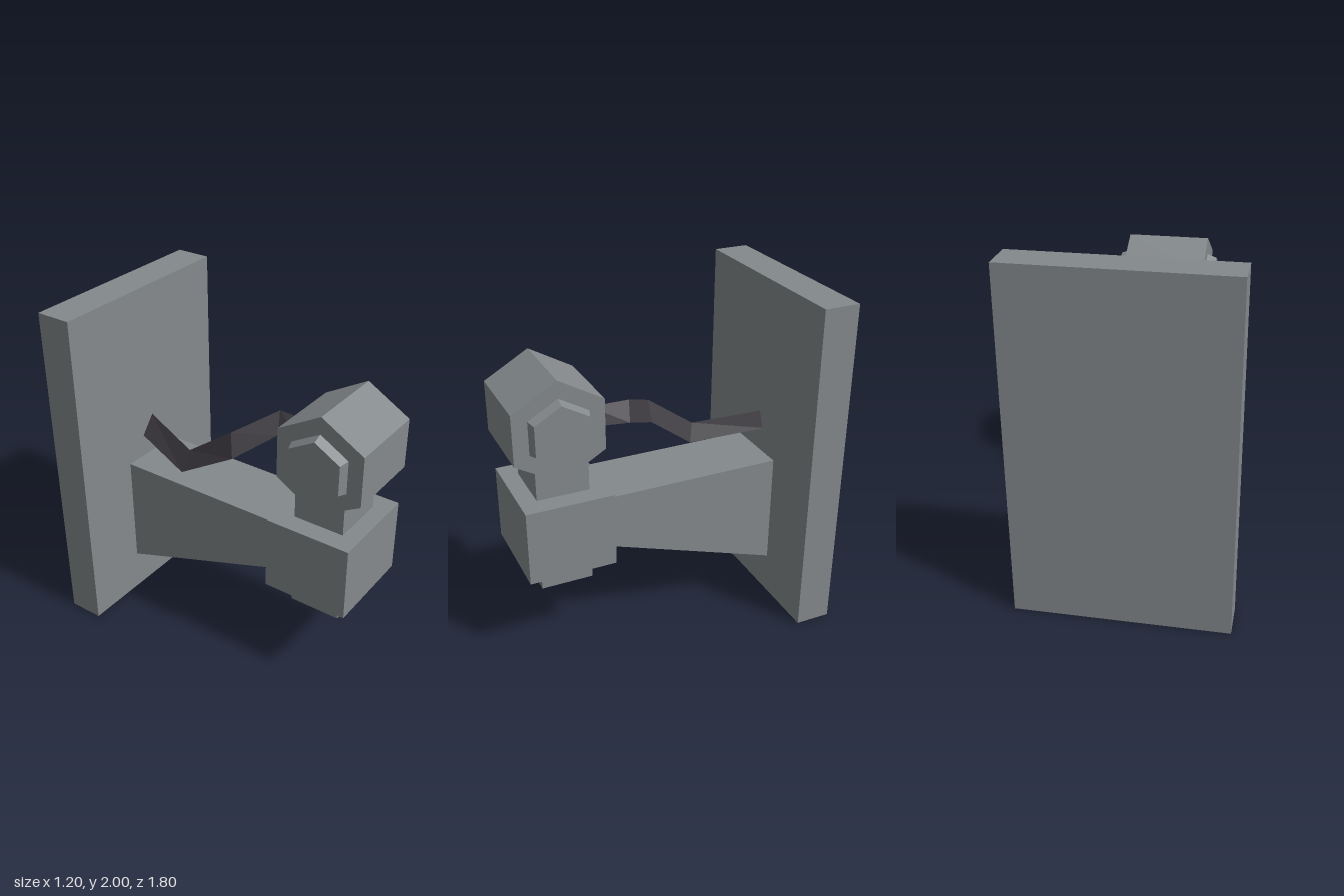
import * as THREE from 'three';

export function createModel() {
  const model = new THREE.Group();
  model.name = 'wallFixture';
  const metal = new THREE.MeshStandardMaterial({ color: 0x84898c, flatShading: true });
  metal.name = 'grey metal';
  const rubber = new THREE.MeshStandardMaterial({ color: 0x3e3b41, flatShading: true });
  rubber.name = 'dark cable';

  const add = (name, geometry, material = metal) => {
    const mesh = new THREE.Mesh(geometry, material);
    mesh.name = name;
    model.add(mesh);
    return mesh;
  };
  // Box given by its width and its y and z ranges, centred on x
  const box = (name, w, y0, y1, z0, z1) =>
    add(name, new THREE.BoxGeometry(w, y1 - y0, z1 - z0)
      .translate(0, (y0 + y1) / 2, (z0 + z1) / 2));
  // Six-sided prism along x, pointing to one side, with a corner on top
  const hexPrism = (rEnd, rBase, length, side = 1) =>
    new THREE.CylinderGeometry(rEnd, rBase, length, 6)
      .rotateY(Math.PI / 2).rotateZ(-side * Math.PI / 2);

  box('wallPlate', 1.2, 0, 2, -0.9, -0.69);
  box('collarBlock', 0.565, 0.545, 0.99, 0.36, 0.87);
  box('post', 0.33, 0.41, 1.25, 0.465, 0.77);

  // Tapered bracket arm between plate and collar, profile in (-z, y)
  const profile = new THREE.Shape([[-0.36, 0.61], [0.69, 0.25], [0.69, 0.93], [-0.36, 0.93]]
    .map(([x, y]) => new THREE.Vector2(x, y)));
  add('bracketArm', new THREE.ExtrudeGeometry(profile, { depth: 0.41, bevelEnabled: false })
    .rotateY(Math.PI / 2).translate(-0.205, 0, 0));

  // Hexagonal head with a bevelled cap on each end
  add('head', hexPrism(0.295, 0.295, 0.48)).position.set(0, 1.41, 0.645);
  for (const side of [-1, 1]) {
    add(side > 0 ? 'leftCap' : 'rightCap', hexPrism(0.175, 0.195, 0.055, side))
      .position.set(side * 0.2675, 1.41, 0.645);
  }

  // Three-sided cable: each ring holds its left, ridge and right corner
  const rings = [
    [[-0.015, 1.335, 0.42], [0.085, 1.45, 0.42], [0.12, 1.345, 0.42]],
    [[0.02, 1.335, 0.225], [0.09, 1.45, 0.19], [0.15, 1.34, 0.21]],
    [[-0.16, 1.205, 0.04], [-0.1, 1.33, -0.01], [-0.03, 1.22, 0]],
    [[-0.18, 1.0, -0.31], [-0.11, 1.12, -0.3], [-0.055, 1.02, -0.265]],
    [[-0.067, 1.07, -0.7], [0.023, 1.18, -0.7], [0.063, 1.08, -0.7]],
  ];
  const points = [];
  for (let r = 0; r < rings.length - 1; r++) {
    for (let i = 0; i < 3; i++) {
      const j = (i + 1) % 3;
      const [a, b, c, d] = [rings[r][i], rings[r][j], rings[r + 1][j], rings[r + 1][i]];
      points.push(...a, ...b, ...c, ...a, ...c, ...d);
    }
  }
  const cable = new THREE.BufferGeometry();
  cable.setAttribute('position', new THREE.Float32BufferAttribute(points, 3));
  cable.computeVertexNormals();
  add('cable', cable, rubber);

  return model;
}
